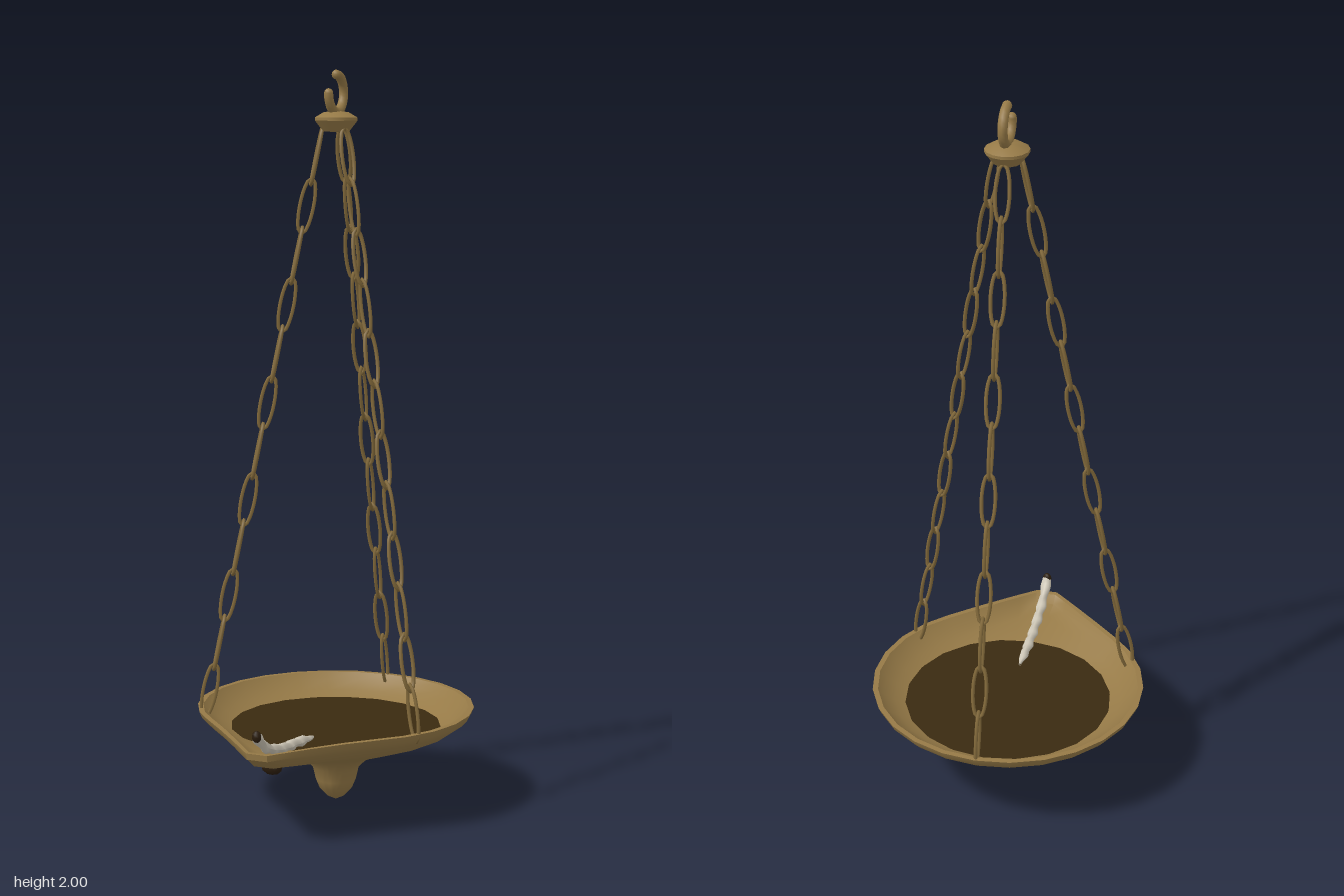
import * as THREE from 'three';
import { toCreasedNormals } from 'three/addons/utils/BufferGeometryUtils.js';

const mat = (name, color) => new THREE.MeshStandardMaterial({ name, color });
const CZ = -0.066; // z of the bowl's axis

// Extra reach of the spout beyond the round rim, by angle from the front
function spoutReach(a) {
  const t = Math.abs(a);
  if (t > 0.78) return 0;
  const side = 0.5416 / (Math.sin(t) + 1.023 * Math.cos(t));
  return Math.max(0, Math.min(side, 0.5 / Math.cos(t)) - 0.38);
}

// Bowl: rings of [radius, height, spout weight], up the outside and down the inside
function bowlGeometry() {
  const rings = [
    [0, 0, 0], [0.024, 0.012, 0], [0.046, 0.036, 0], [0.056, 0.06, 0], [0.064, 0.095, 0],
    [0.09, 0.122, 0], [0.135, 0.142, 0], [0.185, 0.16, 0.02], [0.245, 0.181, 0.18],
    [0.295, 0.199, 0.85], [0.325, 0.213, 1.12], [0.36, 0.238, 1.1], [0.374, 0.253, 1.04], [0.381, 0.27, 1],
    [0.366, 0.27, 1], [0.348, 0.25, 0.97], [0.318, 0.228, 0.78], [0.288, 0.213, 0.08],
    [0.2, 0.178, 0], [0, 0.165, 0],
  ];
  const half = [3.4, 9, 15, 27, 41, 53];
  for (let d = 67.1; d < 180; d += 14.1) half.push(d);
  const angles = [...half.map(d => -d).reverse(), ...half].map(d => d * Math.PI / 180);
  const point = ([r, y, w], a) => {
    const e = spoutReach(a), R = r + e * w;
    const dip = y > 0.24 ? e * 0.1 : 0;
    return [R * Math.sin(a), y - dip, R * Math.cos(a)];
  };
  const pos = [];
  for (let i = 0; i < rings.length - 1; i++) {
    for (let j = 0; j < angles.length; j++) {
      const a = angles[j], b = angles[(j + 1) % angles.length];
      const p = point(rings[i], a), q = point(rings[i], b);
      const s = point(rings[i + 1], a), t = point(rings[i + 1], b);
      if (rings[i][0] > 0) pos.push(...p, ...q, ...t);
      if (rings[i + 1][0] > 0) pos.push(...p, ...t, ...s);
    }
  }
  const g = new THREE.BufferGeometry();
  g.setAttribute('position', new THREE.Float32BufferAttribute(pos, 3));
  return toCreasedNormals(g, 0.75);
}

// One oval chain link in the XY plane, long axis along y
function linkGeometry() {
  const pts = [];
  for (let i = 0; i < 12; i++) {
    const a = i / 12 * Math.PI * 2;
    pts.push(new THREE.Vector3(0.0185 * Math.cos(a), 0.077 * Math.sin(a), 0));
  }
  return new THREE.TubeGeometry(new THREE.CatmullRomCurve3(pts, true), 20, 0.0052, 6, true);
}

export function createModel() {
  const brass = mat('brass', 0x967a47);
  const chainBrass = mat('chain brass', 0x836a3b);
  const oilBrown = mat('oil', 0x3a2a10);
  const cotton = mat('cotton', 0xcdc6b6);
  const soot = mat('soot', 0x2a1c0c);

  const model = new THREE.Group();
  model.name = 'hangingOilLamp';
  const add = (name, geo, material, x = 0, y = 0, z = 0, parent = model) => {
    const m = new THREE.Mesh(geo, material);
    m.name = name;
    m.position.set(x, y, z);
    parent.add(m);
    return m;
  };

  // Bowl with spout, and the oil surface
  add('bowl', bowlGeometry(), brass, 0, 0, CZ);
  add('oil', new THREE.CircleGeometry(0.29, 20).rotateX(-Math.PI / 2), oilBrown, 0, 0.2145, CZ);

  // Top cap joining the chains
  const cap = [[0, 1.835], [0.036, 1.838], [0.058, 1.866], [0.058, 1.874], [0.034, 1.888], [0, 1.892]]
    .map(([r, y]) => new THREE.Vector2(r, y));
  add('topCap', toCreasedNormals(new THREE.LatheGeometry(cap, 14), 0.5), brass, 0, 0, CZ);

  // Open hook with rounded ends
  const hook = new THREE.Group();
  hook.name = 'hook';
  hook.position.set(0, 1.938, CZ);
  model.add(hook);
  const arc = new THREE.TorusGeometry(0.049, 0.013, 8, 20, Math.PI * 1.5);
  add('hookArc', arc.rotateZ(Math.PI / 2).rotateY(-Math.PI / 2), brass, 0, 0, 0, hook);
  const end = new THREE.SphereGeometry(0.013, 8, 6);
  add('hookTip', end, brass, 0, 0, 0.049, hook);
  add('hookTop', end, brass, 0, 0.049, 0, hook);

  // Three chains of twelve links, alternately turned
  const link = linkGeometry();
  const slope = 0.203, tilt = -Math.atan(slope);
  [Math.PI / 3, -Math.PI / 3, Math.PI].forEach((angle, k) => {
    const chain = new THREE.Group();
    chain.name = ['leftChain', 'rightChain', 'backChain'][k];
    chain.position.z = CZ;
    chain.rotation.y = angle;
    model.add(chain);
    for (let i = 0; i < 12; i++) {
      const y = 0.32 + i * 0.132;
      const m = add('link', link, chainBrass, 0, y, 0.347 - (y - 0.32) * slope, chain);
      m.rotation.set(tilt, i % 2 ? 0 : Math.PI / 2, 0);
    }
  });

  // Twisted wick resting in the spout, with a burnt tip
  const path = new THREE.CatmullRomCurve3([
    [0.004, 0.218, 0.095], [0, 0.226, 0.19], [0, 0.236, 0.29], [0, 0.262, 0.38], [0, 0.303, 0.432],
  ].map(p => new THREE.Vector3(...p)));
  const wick = new THREE.TubeGeometry(path, 40, 0.013, 8, false);
  const p = wick.attributes.position;
  for (let i = 0; i < p.count; i++) {
    const c = path.getPointAt(Math.floor(i / 9) / 40);
    const v = new THREE.Vector3().fromBufferAttribute(p, i);
    const twist = (i % 9) / 8 * Math.PI * 4 + v.z * 110;
    const taper = Math.min(1, 0.3 + (c.z - 0.095) * 12);
    v.sub(c).multiplyScalar(taper * (1 + 0.2 * Math.sin(twist))).add(c);
    p.setXYZ(i, v.x, v.y, v.z);
  }
  wick.computeVertexNormals();
  cotton.side = THREE.DoubleSide;
  add('wick', wick, cotton);
  const tip = add('burntTip', new THREE.SphereGeometry(0.014, 8, 6), soot, 0, 0.305, 0.434);
  tip.scale.set(0.95, 1.15, 0.8);

  // Soot lump showing through the spout floor
  const lump = add('sootPatch', new THREE.IcosahedronGeometry(0.03, 1), soot, 0.004, 0.205, 0.352);
  lump.scale.set(1, 0.75, 0.6);

  return model;
}
